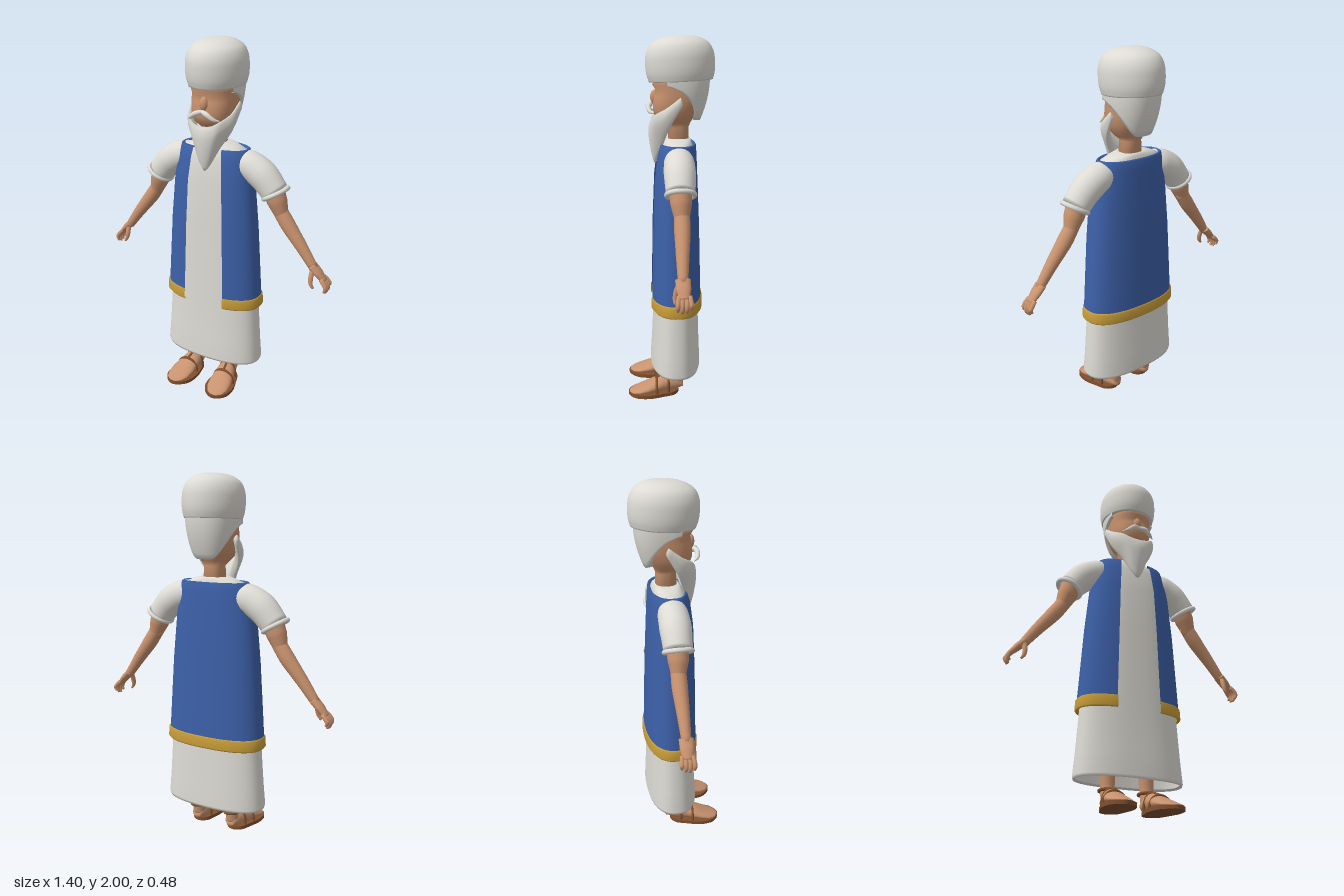
import * as THREE from 'three';

const mat = (name, color, side = THREE.FrontSide) => {
  const m = new THREE.MeshStandardMaterial({ color, side });
  m.name = name;
  return m;
};
const V = (x, y, z) => new THREE.Vector3(x, y, z);
const spow = (v, p) => Math.sign(v) * Math.pow(Math.abs(v), p);

// Skin a list of cross-section rings; closed rings can be capped at either end
function loft(rings, closed = true, caps = [false, false]) {
  const n = rings[0].length, pos = [], idx = [];
  rings.forEach(r => r.forEach(p => pos.push(p.x, p.y, p.z)));
  const cols = closed ? n : n - 1;
  for (let j = 0; j < rings.length - 1; j++) {
    for (let i = 0; i < cols; i++) {
      const a = j * n + i, b = j * n + (i + 1) % n;
      idx.push(a, b, b + n, a, b + n, a + n);
    }
  }
  [0, rings.length - 1].forEach((j, end) => {
    if (!caps[end]) return;
    const c = rings[j].reduce((s, p) => s.add(p), V(0, 0, 0)).divideScalar(n);
    const k = pos.push(c.x, c.y, c.z) / 3 - 1;
    for (let i = 0; i < n; i++) {
      const a = j * n + i, b = j * n + (i + 1) % n;
      end ? idx.push(a, b, k) : idx.push(b, a, k);
    }
  });
  const g = new THREE.BufferGeometry();
  g.setAttribute('position', new THREE.Float32BufferAttribute(pos, 3));
  g.setIndex(idx);
  g.computeVertexNormals();
  return g;
}

// Horizontal rounded ring from [y, halfWidth, frontZ, backZ, frontGap]
function bodyRing([y, hx, zf, zb, gap], n = 48, pow = 2.4) {
  const start = gap ? Math.asin(Math.pow(gap / hx, pow / 2)) : 0;
  return Array.from({ length: gap ? n + 1 : n }, (_, i) => {
    const a = start + (i / n) * (Math.PI * 2 - start * 2);
    return V(hx * spow(Math.sin(a), 2 / pow), y, (zf + zb) / 2 + (zf - zb) / 2 * spow(Math.cos(a), 2 / pow));
  });
}

// Tapered tube along a smooth path; flat stretches it along z
function limb(points, radii, flat = 1, steps = 14, sides = 16) {
  const curve = new THREE.CatmullRomCurve3(points.map(p => V(...p)));
  const rings = [];
  for (let j = 0; j <= steps; j++) {
    const t = j / steps, k = Math.min(t * (radii.length - 1), radii.length - 1.0001), f = Math.floor(k);
    const r = THREE.MathUtils.lerp(radii[f], radii[f + 1], k - f);
    const c = curve.getPoint(t), tan = curve.getTangent(t);
    const u = V(0, 0, 1).cross(tan).normalize(), w = tan.clone().cross(u).negate();
    if (w.z < 0) w.negate();
    rings.push(Array.from({ length: sides }, (_, i) => {
      const a = i / sides * Math.PI * 2;
      return c.clone().addScaledVector(u, r * Math.cos(a)).addScaledVector(w, r * flat * Math.sin(a));
    }));
  }
  return loft(rings, true, [true, true]);
}

export function createModel() {
  const skin = mat('skin', 0xc8926e);
  const white = mat('white cloth and hair', 0xdddbd4, THREE.DoubleSide);
  const blue = mat('blue cloth', 0x3c60a8, THREE.DoubleSide);
  const gold = mat('gold trim', 0xc89d38, THREE.DoubleSide);
  const brown = mat('brown leather', 0x80502f);

  const model = new THREE.Group();
  model.name = 'robedElder';
  const add = (parent, name, geometry, material) => {
    const m = new THREE.Mesh(geometry, material);
    m.name = name;
    parent.add(m);
    return m;
  };

  // Long robe, open below
  add(model, 'robe', loft([
    [0.17, 0.285, 0.098, -0.155], [0.16, 0.298, 0.108, -0.166], [0.175, 0.303, 0.113, -0.17],
    [0.3, 0.292, 0.105, -0.164], [0.55, 0.275, 0.093, -0.155], [1.0, 0.245, 0.086, -0.145],
    [1.25, 0.222, 0.079, -0.136], [1.38, 0.2, 0.062, -0.13], [1.425, 0.182, 0.045, -0.122],
    [1.447, 0.13, 0.03, -0.115], [1.462, 0.075, 0.02, -0.108], [1.455, 0.05, 0.0, -0.09]
  ].map(r => bodyRing(r)), true, [false, true]), white);

  // Open-fronted vest and its hem band
  add(model, 'vest', loft([
    [0.57, 0.291, 0.111, -0.172, 0.125], [1.0, 0.262, 0.103, -0.16, 0.113], [1.25, 0.238, 0.093, -0.149, 0.104],
    [1.38, 0.215, 0.076, -0.143, 0.092], [1.43, 0.201, 0.06, -0.139, 0.086], [1.437, 0.192, 0.052, -0.131, 0.084],
    [1.425, 0.184, 0.046, -0.123, 0.084]
  ].map(r => bodyRing(r)), false), blue);
  add(model, 'vestHem', loft([
    [0.525, 0.283, 0.1, -0.163, 0.123], [0.518, 0.294, 0.11, -0.174, 0.123], [0.527, 0.301, 0.117, -0.18, 0.123],
    [0.578, 0.298, 0.116, -0.178, 0.123], [0.586, 0.29, 0.109, -0.171, 0.123]
  ].map(r => bodyRing(r)), false), gold);

  // Neck and head
  add(model, 'head', loft([
    [1.42, 0.062, 0.012, -0.102], [1.52, 0.055, 0.01, -0.1], [1.545, 0.075, 0.045, -0.11], [1.575, 0.1, 0.08, -0.13],
    [1.61, 0.114, 0.092, -0.15], [1.65, 0.12, 0.093, -0.17], [1.69, 0.123, 0.088, -0.18], [1.72, 0.122, 0.08, -0.18],
    [1.745, 0.123, 0.095, -0.18], [1.79, 0.12, 0.092, -0.18]
  ].map(r => bodyRing(r, 40)), true, [true, true]), skin);
  const nose = add(model, 'nose', new THREE.SphereGeometry(1, 20, 14), skin);
  nose.scale.set(0.024, 0.038, 0.022);
  nose.position.set(0, 1.68, 0.085);

  // Rounded turban
  const dome = new THREE.SplineCurve([[0.15, 0], [0.16, 0.04], [0.163, 0.09], [0.158, 0.145], [0.135, 0.193],
    [0.088, 0.223], [0.04, 0.233], [0, 0.235]].map(p => new THREE.Vector2(...p))).getPoints(28);
  dome[dome.length - 1].x = 0;
  const turban = add(model, 'turban', new THREE.LatheGeometry([new THREE.Vector2(0, 0), ...dome], 48), white);
  turban.scale.z = 1.14;
  turban.position.set(0, 1.766, -0.058);
  turban.rotation.x = 0.05;

  // Hair hanging behind the ears to a rounded point
  const hairRings = [];
  for (let j = 0; j <= 9; j++) {
    const t = Math.max(0, 1 - j / 8), inner = j === 0 ? 0.72 : 1;
    const q = j === 0 ? 1 : 1 - (j - 1) / 8;
    hairRings.push(Array.from({ length: 41 }, (_, i) => {
      const s = i / 20 - 1, e = Math.abs(s), a = Math.PI + s * 1.9;
      const bottom = 1.56 + 0.18 * THREE.MathUtils.smoothstep(e, 0.2, 1);
      const y = THREE.MathUtils.lerp(1.79, bottom, q);
      const drop = (1.79 - y) / 0.23, k = (1 - 0.3 * drop * drop) * inner;
      return V(0.143 * k * -spow(Math.sin(a + Math.PI), 0.85), y, -0.045 + 0.168 * k * spow(Math.cos(a), 0.85));
    }));
  }
  add(model, 'hair', loft(hairRings, false), white);

  // Beard: sections run from one sideburn round the chin to the other
  const half = [
    [[0, 1.565, 0.1], [0, 1.5, 0.118], [0, 1.318, 0.082], [0, 1.45, 0.05]],
    [[0.05, 1.572, 0.097], [0.05, 1.5, 0.108], [0.026, 1.345, 0.077], [0.035, 1.45, 0.04]],
    [[0.09, 1.595, 0.08], [0.088, 1.53, 0.085], [0.07, 1.44, 0.04], [0.06, 1.5, 0.025]],
    [[0.126, 1.63, 0.022], [0.134, 1.58, 0.03], [0.122, 1.535, 0], [0.1, 1.58, 0]],
    [[0.138, 1.685, -0.05], [0.148, 1.665, -0.052], [0.142, 1.645, -0.062], [0.122, 1.66, -0.06]]
  ];
  const stations = [...half.slice(1).reverse().map(st => st.map(([x, y, z]) => [-x, y, z])), ...half];
  const rails = [0, 1, 2, 3].map(k => new THREE.CatmullRomCurve3(stations.map(st => V(...st[k]))));
  const beardRings = Array.from({ length: 41 }, (_, j) =>
    new THREE.CatmullRomCurve3(rails.map(r => r.getPoint(j / 40)), true).getPoints(16).slice(0, 16).reverse());
  add(model, 'beard', loft(beardRings, true, [true, true]), white);

  // Everything paired is built on the left and mirrored
  for (const s of [1, -1]) {
    const side = new THREE.Group();
    side.name = s > 0 ? 'leftSide' : 'rightSide';
    side.scale.x = s;
    model.add(side);

    add(side, 'moustache', limb([[-0.004, 1.643, 0.103], [0.035, 1.633, 0.117], [0.068, 1.61, 0.11], [0.096, 1.601, 0.09]],
      [0.011, 0.014, 0.011, 0.003]), white);

    // Sleeve and rolled cuff
    add(side, 'sleeve', limb([[0.14, 1.36, -0.04], [0.2, 1.353, -0.04], [0.285, 1.308, -0.04], [0.365, 1.22, -0.04]],
      [0.065, 0.08, 0.083, 0.074], 1, 16, 28), white);
    const cuff = add(side, 'cuff', new THREE.TorusGeometry(0.071, 0.013, 10, 32), white);
    cuff.position.set(0.365, 1.22, -0.04);
    cuff.quaternion.setFromUnitVectors(V(0, 0, 1), V(0.5, -0.866, 0));

    // Arm
    add(side, 'upperArm', limb([[0.34, 1.26, -0.04], [0.375, 1.175, -0.042], [0.405, 1.095, -0.045]], [0.06, 0.055, 0.036]), skin);
    add(side, 'forearm', limb([[0.382, 1.14, -0.045], [0.44, 1.055, -0.045], [0.53, 0.94, -0.042], [0.605, 0.838, -0.04]],
      [0.04, 0.042, 0.033, 0.025]), skin);

    // Hand with four fingers and a thumb
    add(side, 'palm', limb([[0.595, 0.852, -0.04], [0.632, 0.815, -0.042], [0.668, 0.776, -0.045]], [0.022, 0.021, 0.014], 1.75), skin);
    [-0.012, -0.034, -0.056, -0.077].forEach((z, i) => {
      const len = [0.01, 0, 0.004, 0.02][i];
      add(side, 'finger', limb([[0.655, 0.79, -0.045 + (z + 0.045) * 0.8], [0.683, 0.758, z],
        [0.686, 0.73 + len, z], [0.678, 0.711 + len, z]], [0.012, 0.012, 0.011, 0.006], 1, 8, 10), skin);
    });
    add(side, 'thumb', limb([[0.605, 0.835, -0.022], [0.603, 0.79, -0.006], [0.608, 0.758, 0], [0.622, 0.737, 0]],
      [0.014, 0.014, 0.011, 0.006], 1, 8, 10), skin);

    // Ankle and foot
    add(side, 'leg', limb([[0.112, 0.06, -0.035], [0.111, 0.14, -0.045], [0.11, 0.4, -0.05]], [0.037, 0.037, 0.05]), skin);
    const foot = [[-0.072, 0.112, 0.018, 0.055], [-0.06, 0.112, 0.034, 0.085], [-0.02, 0.113, 0.044, 0.11], [0.03, 0.117, 0.052, 0.112],
      [0.08, 0.124, 0.061, 0.092], [0.13, 0.13, 0.068, 0.068], [0.18, 0.135, 0.064, 0.045], [0.215, 0.138, 0.047, 0.033], [0.235, 0.139, 0.018, 0.025]];
    add(side, 'foot', loft(foot.map(([z, cx, hw, top]) => Array.from({ length: 24 }, (_, i) => {
      const a = i / 24 * Math.PI * 2, base = z < -0.03 ? 0.03 : 0.012;
      return V(cx + hw * Math.cos(a), base + (top - base) * (0.5 + 0.5 * Math.sin(a)), z);
    })), true, [true, true]), skin);

    // Sandal sole and straps
    const outline = [[0.114, 0.045], [0.07, 0.02], [0.053, -0.04], [0.043, -0.12], [0.065, -0.2], [0.135, -0.243],
      [0.196, -0.205], [0.211, -0.13], [0.187, -0.04], [0.163, 0.02]].map(p => new THREE.Vector3(p[0], p[1], 0));
    const shape = new THREE.Shape(new THREE.CatmullRomCurve3(outline, true).getPoints(40).slice(0, 40).map(p => new THREE.Vector2(p.x, p.y)));
    add(side, 'sole', new THREE.ExtrudeGeometry(shape, { depth: 0.02, bevelEnabled: false }).rotateX(-Math.PI / 2), brown);
    [[0.015, 0.116, 0.053, 0.115], [0.082, 0.125, 0.064, 0.093]].forEach(([z, cx, hw, top]) => {
      const arch = Array.from({ length: 9 }, (_, i) => {
        const a = Math.PI * i / 8;
        return V(cx + hw * Math.cos(a), 0.012 + (top - 0.012) * Math.pow(Math.sin(a), 0.8), z);
      });
      add(side, 'strap', new THREE.TubeGeometry(new THREE.CatmullRomCurve3(arch), 24, 0.008, 8), brown);
    });
    add(side, 'frontStrap', new THREE.TubeGeometry(new THREE.CatmullRomCurve3(
      [V(0.114, 0.118, -0.003), V(0.117, 0.113, 0.03), V(0.125, 0.093, 0.082)]), 12, 0.007, 8), brown);
    const ankleStrap = add(side, 'ankleStrap', new THREE.TorusGeometry(0.042, 0.009, 8, 28).rotateX(Math.PI / 2), brown);
    ankleStrap.position.set(0.111, 0.118, -0.043);
    ankleStrap.scale.z = 1.15;
  }
  return model;
}
